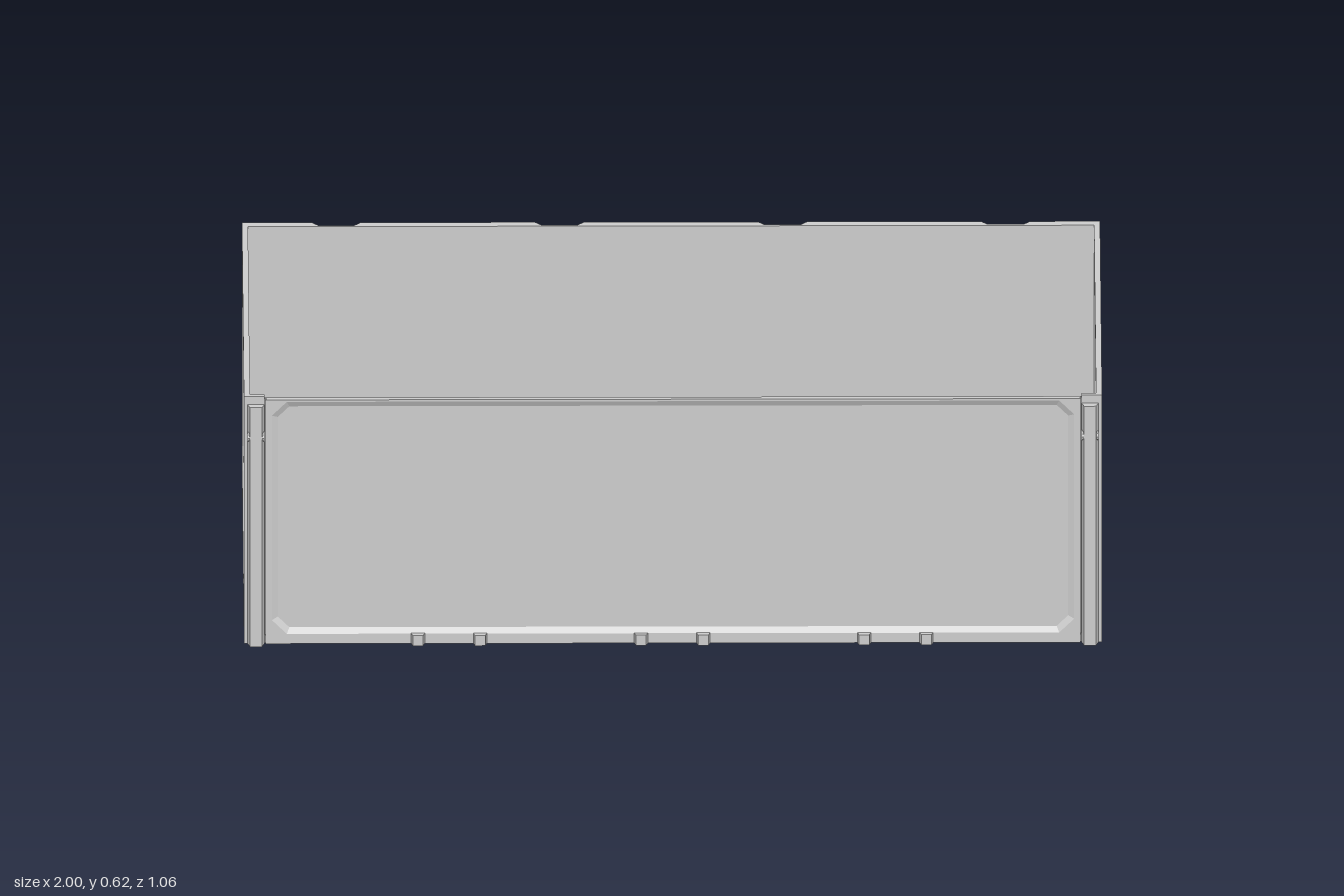
import * as THREE from 'three';

const material = new THREE.MeshStandardMaterial({ color: 0xcccccc, flatShading: true });

function add(parent, name, geometry, x = 0, y = 0, z = 0) {
  const mesh = new THREE.Mesh(geometry, material);
  mesh.name = name;
  mesh.position.set(x, y, z);
  parent.add(mesh);
  return mesh;
}

// Box given by its minimum and maximum corners
function block(parent, name, [x0, y0, z0], [x1, y1, z1]) {
  const g = new THREE.BoxGeometry(x1 - x0, y1 - y0, z1 - z0);
  return add(parent, name, g, (x0 + x1) / 2, (y0 + y1) / 2, (z0 + z1) / 2);
}

const toShape = pts => new THREE.Shape(pts.map(p => new THREE.Vector2(...p)));
const mirrorX = pts => pts.map(([x, y]) => [-x, y]).reverse();

// Counter-clockwise rectangle; c cuts its corners
const rect = (x0, y0, x1, y1, c) => [
  [x0 + c, y0], [x1 - c, y0], [x1, y0 + c], [x1, y1 - c],
  [x1 - c, y1], [x0 + c, y1], [x0, y1 - c], [x0, y0 + c],
];

// Move every edge of a convex counter-clockwise polygon inwards
function inset(pts, d) {
  const n = pts.length;
  return pts.map((p, i) => {
    const a = pts[(i + n - 1) % n], b = pts[(i + 1) % n];
    const u = new THREE.Vector2(p[0] - a[0], p[1] - a[1]).normalize();
    const v = new THREE.Vector2(b[0] - p[0], b[1] - p[1]).normalize();
    const k = d / (1 + u.dot(v));
    return [p[0] - k * (u.y + v.y), p[1] + k * (u.x + v.x)];
  });
}

// Band of quads from a loop at z = 0 to a loop at z = -depth
function band(front, back, depth, inward) {
  const pos = [];
  front.forEach((_, i) => {
    const j = (i + 1) % front.length;
    const af = [...front[i], 0], bf = [...front[j], 0];
    const ab = [...back[i], -depth], bb = [...back[j], -depth];
    const tris = inward ? [af, bf, bb, af, bb, ab] : [af, ab, bb, af, bb, bf];
    pos.push(...tris.flat());
  });
  const g = new THREE.BufferGeometry();
  g.setAttribute('position', new THREE.Float32BufferAttribute(pos, 3));
  g.computeVertexNormals();
  return g;
}

// Plate facing +z with bevelled recesses
function recessedPanel(name, outline, backOutline, thickness, recesses, bevel, depth) {
  const group = new THREE.Group();
  group.name = name;
  const face = toShape(outline);
  face.holes = recesses.map(r => new THREE.Path(r.map(p => new THREE.Vector2(...p))));
  add(group, 'frameFace', new THREE.ShapeGeometry(face));
  add(group, 'frameEdge', band(outline, backOutline, thickness, false));
  for (const r of recesses) {
    const floor = inset(r, bevel);
    add(group, 'recessBevel', band(r, floor, depth, true));
    add(group, 'recessFloor', new THREE.ShapeGeometry(toShape(floor)), 0, 0, -depth);
  }
  return group;
}

// Upright bar with a tapered plan, its broad side at z0
function taperedBar(w, tip, z0, z1, height) {
  const s = toShape([[-tip / 2, -z1], [tip / 2, -z1], [w / 2, -z0], [-w / 2, -z0]]);
  return new THREE.ExtrudeGeometry(s, { depth: height, bevelEnabled: false }).rotateX(-Math.PI / 2);
}

export function createModel() {
  const model = new THREE.Group();
  model.name = 'cargoBox';
  const H = 0.625;

  // Floor
  block(model, 'floor', [-0.995, 0, -0.52], [0.995, 0.02, 0.508]);

  // Side walls: panelled outside and inside
  const sideOutline = [[-0.51, 0], [0.522, 0], [0.522, H], [-0.51, H]];
  const sidePanel = [[-0.463, 0.178], [-0.31, 0.025], [0.46, 0.025], [0.505, 0.07],
    [0.505, 0.59], [-0.415, 0.59], [-0.463, 0.545]];
  for (const s of [1, -1]) {
    for (const outer of [true, false]) {
      const facing = outer ? s : -s;
      const flip = pts => (facing > 0 ? pts : mirrorX(pts));
      const o = flip(sideOutline);
      const wall = recessedPanel(outer ? 'sideWallOuter' : 'sideWallInner', o, o, 0.007, [flip(sidePanel)], 0.004, 0.004);
      wall.rotation.y = facing * Math.PI / 2;
      wall.position.x = s * (outer ? 1 : 0.986);
      model.add(wall);
    }
    // Latch slot near the front top corner: a thin raised ring
    const slot = toShape(rect(-0.01, -0.018, 0.01, 0.018, 0.004));
    slot.holes.push(toShape(rect(-0.006, -0.014, 0.006, 0.014, 0.003)));
    const ring = add(model, 'latchSlot',
      new THREE.ExtrudeGeometry(slot, { depth: 0.002, bevelEnabled: false }), s * 0.999, 0.563, 0.492);
    ring.rotation.y = s * Math.PI / 2;
    ring.position.x = s * 0.998;

    // Front corner posts with a tapered outer rib and latch pin
    block(model, 'cornerPost', [Math.min(s * 0.952, s * 0.999), 0, 0.498], [Math.max(s * 0.952, s * 0.999), H, 0.511]);
    add(model, 'postRib', taperedBar(0.04, 0.028, 0.51, 0.53, 0.605), s * 0.972, 0, 0);
    const pin = add(model, 'latchPin', new THREE.CylinderGeometry(0.012, 0.012, 0.04, 10), s * 0.972, 0.527, 0.517);
    pin.rotation.z = Math.PI / 2;
  }

  // Tailgate at the front
  const gate = rect(-0.95, 0, 0.95, 0.617, 0.002);
  const tailgate = recessedPanel('tailgate', gate, gate, 0.014,
    [rect(-0.935, 0.025, 0.935, 0.612, 0.035)], 0.014, 0.007);
  tailgate.position.z = 0.512;
  model.add(tailgate);
  block(model, 'tailgateInner', [-0.952, 0, 0.498], [0.952, 0.617, 0.504]);

  // Hinge blocks under the tailgate
  for (const c of [-0.522, -0.002, 0.518]) {
    for (const d of [-0.0725, 0.0725]) {
      add(model, 'hingeBlock', taperedBar(0.034, 0.024, 0.508, 0.526, 0.026), c + d, 0, 0);
    }
  }

  // Ribbed back wall with notches in its top edge
  const centres = [-0.78, -0.26, 0.26, 0.78];
  const backLoop = (half, bottom) => {
    const loop = [[-1, 0], [1, 0], [1, H]];
    for (const c of [...centres].reverse()) {
      loop.push([c + half, H], [c + half, bottom], [c - half, bottom], [c - half, H]);
    }
    return [...loop, [-1, H]];
  };
  const recesses = centres.map(c => rect(c - 0.05, 0.008, c + 0.05, 0.465, 0.025));
  for (const x of [-0.52, 0, 0.52]) recesses.push(rect(x - 0.2, 0.008, x + 0.2, 0.6, 0.03));
  for (const x of [-0.913, 0.913]) recesses.push(rect(x - 0.072, 0.008, x + 0.072, 0.6, 0.025));
  const back = recessedPanel('backWall', backLoop(0.057, 0.525), backLoop(0.042, 0.54), 0.017, recesses, 0.02, 0.016);
  back.rotation.y = Math.PI;
  back.position.z = -0.53;
  model.add(back);
  block(model, 'backWallInner', [-0.999, 0, -0.5135], [0.999, H, -0.506]);

  return model;
}
